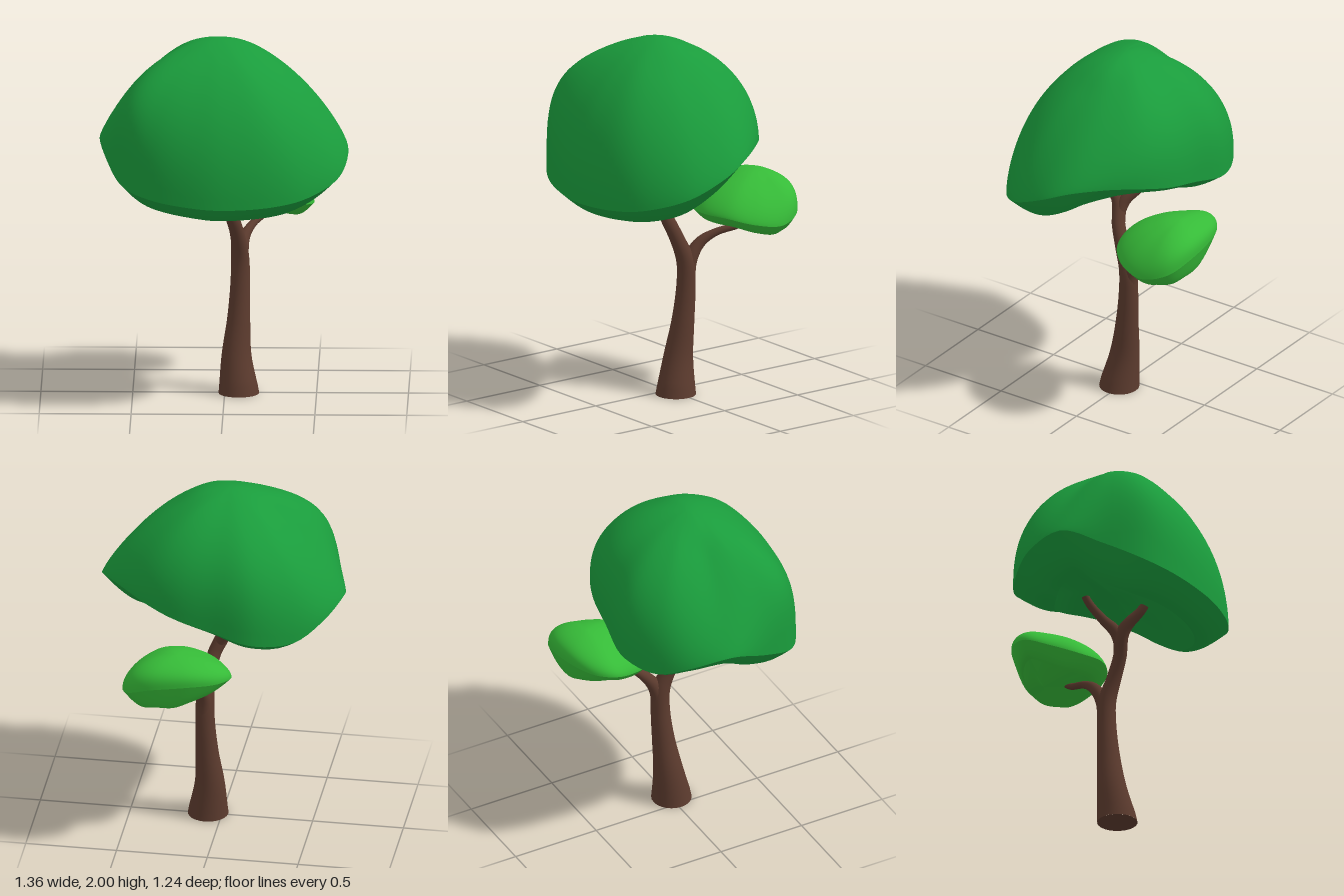
import * as THREE from 'three';
import { mergeVertices } from 'three/addons/utils/BufferGeometryUtils.js';

const SIDES = 96;

// Smooth skin over closed rings of points, listed from the underside upwards
function loft(rings) {
  const pos = rings.flat().flatMap(p => [p.x, p.y, p.z]);
  const n = rings[0].length, index = [];
  for (let i = 0; i < rings.length - 1; i++) {
    for (let j = 0; j < n; j++) {
      const k = (j + 1) % n;
      const a = i * n + j, b = i * n + k, c = a + n, d = b + n;
      index.push(a, c, b, b, c, d);
    }
  }
  let g = new THREE.BufferGeometry();
  g.setAttribute('position', new THREE.Float32BufferAttribute(pos, 3));
  g.setIndex(index);
  g = mergeVertices(g, 1e-5);
  g.computeVertexNormals();
  return g;
}

// Leaf mass: rim points [x, y, z, fullness], an apex, a rolled lip and a shallow underside
function foliage(name, o) {
  const group = new THREE.Group();
  group.name = name;
  const material = new THREE.MeshStandardMaterial({ color: o.color });
  const closed = pts => new THREE.CatmullRomCurve3(pts, true, 'catmullrom', 0.5);
  const rimCurve = closed(o.rim.map(p => new THREE.Vector3(p[0], p[1], p[2])));
  const fullCurve = closed(o.rim.map(p => new THREE.Vector3(p[3], 0, 0)));
  const [ax, ay, az] = o.apex;
  const rim = [];
  for (let j = 0; j < SIDES; j++) {
    const p = rimCurve.getPoint(j / SIDES);
    const angle = Math.atan2(p.z - az, p.x - ax);
    const back = Math.max(0, -Math.sin(angle));
    rim.push({
      p, back,
      full: fullCurve.getPoint(j / SIDES).x,
      lipY: p.y - o.drop - o.sideDrop * Math.cos(angle) ** 4 - o.backDrop * back,
      inner: o.inner + 0.06 * Math.sin(angle),
    });
  }
  const ring = (scale, height) => rim.map(r => {
    const s = scale(r);
    return new THREE.Vector3(ax + (r.p.x - ax) * s, height(r), az + (r.p.z - az) * s);
  });
  const add = (part, rings) => {
    const mesh = new THREE.Mesh(loft(rings), material);
    mesh.name = part;
    group.add(mesh);
  };

  const crown = [], lip = [], underside = [];
  for (let i = 0; i <= 32; i++) {
    const s = Math.cos(i / 32 * Math.PI / 2);
    const spread = THREE.MathUtils.smoothstep(s, 0, 0.45);
    crown.push(ring(() => s, r => {
      const q = THREE.MathUtils.lerp(2, r.full, spread);
      const power = 1.72 - 0.25 * Math.max(0, q - 2.2);
      return r.p.y + (ay - r.p.y) * Math.max(0, 1 - s ** power) ** (1 / q);
    }));
  }
  for (let i = 0; i <= 10; i++) {
    const k = 1 - i / 10;
    lip.push(ring(r => 1 - (1 - r.inner) * k,
      r => THREE.MathUtils.lerp(r.p.y, r.lipY, Math.sin(k * Math.PI / 2))));
  }
  for (let i = 0; i <= 14; i++) {
    const k = i / 14;
    underside.push(ring(r => r.inner * k,
      r => THREE.MathUtils.lerp(o.undersideY, r.lipY, k ** (1.3 + 2 * r.back))));
  }
  add(name + 'Crown', crown);
  add(name + 'Lip', lip);
  add(name + 'Underside', underside);
  return group;
}

// Tapered limb through points [x, y, z, radius]
function limb(name, pts, material) {
  const path = new THREE.CatmullRomCurve3(pts.map(p => new THREE.Vector3(p[0], p[1], p[2])));
  const radii = new THREE.CatmullRomCurve3(
    pts.map((p, i) => new THREE.Vector3(p[3], i, 0)), false, 'catmullrom', 0.5);
  const steps = 40, around = 24;
  const g = new THREE.TubeGeometry(path, steps, 1, around, false);
  const pos = g.attributes.position, v = new THREE.Vector3();
  for (let i = 0; i <= steps; i++) {
    const u = i / steps, c = path.getPointAt(u);
    const r = radii.getPoint(path.getUtoTmapping(u)).x;
    for (let j = 0; j <= around; j++) {
      const n = i * (around + 1) + j;
      v.fromBufferAttribute(pos, n).sub(c).multiplyScalar(r).add(c);
      if (i === 0 && pts[0][1] === 0) v.y = 0;
      pos.setXYZ(n, v.x, v.y, v.z);
    }
  }
  g.deleteAttribute('uv');
  g.deleteAttribute('normal');
  const smooth = mergeVertices(g, 1e-5);
  smooth.computeVertexNormals();
  const mesh = new THREE.Mesh(smooth, material);
  mesh.name = name;
  return mesh;
}

export function createModel() {
  const tree = new THREE.Group();
  tree.name = 'tree';
  const bark = new THREE.MeshStandardMaterial({ color: 0x5c3b2e });

  // Trunk leaning into the main branch, with its foot
  tree.add(limb('trunk', [
    [0.077, 0, 0.01, 0.111], [0.064, 0.2, -0.017, 0.082], [0.075, 0.4, -0.04, 0.063],
    [0.083, 0.6, -0.055, 0.053], [0.083, 0.74, -0.052, 0.05], [0.073, 0.86, -0.01, 0.041],
    [0.045, 0.98, 0.038, 0.037], [0, 1.08, 0.065, 0.039], [-0.01, 1.13, 0.1, 0.034],
    [-0.01, 1.2, 0.18, 0.026], [-0.01, 1.28, 0.24, 0.02],
  ], bark));
  const foot = new THREE.Mesh(new THREE.CircleGeometry(0.11, 24), bark);
  foot.name = 'trunkFoot';
  foot.rotation.x = Math.PI / 2;
  foot.position.set(0.077, 0, 0.01);
  tree.add(foot);

  // Side branches
  tree.add(limb('upperBranch', [
    [0.03, 1.01, 0.05, 0.03], [-0.01, 1.1, 0.035, 0.034], [-0.06, 1.17, -0.025, 0.026],
    [-0.12, 1.25, -0.08, 0.022], [-0.17, 1.34, -0.11, 0.018],
  ], bark));
  tree.add(limb('lowerBranch', [
    [0.085, 0.62, -0.062, 0.042], [0.088, 0.75, -0.08, 0.04], [0.105, 0.84, -0.135, 0.031],
    [0.15, 0.895, -0.21, 0.021], [0.22, 0.935, -0.32, 0.018], [0.25, 0.98, -0.38, 0.016],
  ], bark));

  // Large main canopy
  tree.add(foliage('canopy', {
    color: 0x1a9c3c, apex: [-0.04, 2, 0.05], drop: 0.095, sideDrop: 0.07, backDrop: 0,
    inner: 0.65, undersideY: 1.29,
    rim: [
      [0, 1.17, 0.615, 2.2], [-0.2, 1.18, 0.59, 2.4], [-0.4, 1.205, 0.52, 3.1],
      [-0.55, 1.25, 0.4, 4.2], [-0.635, 1.34, 0.2, 2.3], [-0.68, 1.43, -0.02, 1.2],
      [-0.6, 1.38, -0.24, 1.5], [-0.45, 1.3, -0.38, 2.3], [-0.23, 1.31, -0.465, 2.8],
      [0, 1.365, -0.44, 2.7], [0.2, 1.41, -0.41, 2.5], [0.36, 1.45, -0.34, 2.1],
      [0.5, 1.47, -0.22, 1.6], [0.63, 1.45, -0.05, 1.25], [0.675, 1.38, 0.12, 1.2],
      [0.62, 1.28, 0.33, 1.4], [0.45, 1.21, 0.5, 1.75], [0.25, 1.18, 0.585, 2.1],
    ],
  }));

  // Small foliage on the lower branch
  tree.add(foliage('smallFoliage', {
    color: 0x36bb38, apex: [0.18, 1.22, -0.46], drop: 0.07, sideDrop: 0, backDrop: 0.08,
    inner: 0.66, undersideY: 0.94,
    rim: [
      [0.16, 1.02, -0.11, 1.5], [0, 1.01, -0.17, 1.6], [-0.09, 1.05, -0.32, 1.8],
      [-0.12, 1.09, -0.45, 2], [-0.05, 1.1, -0.55, 2.4], [0.1, 1.1, -0.61, 3],
      [0.3, 1.07, -0.615, 3], [0.43, 1.01, -0.55, 2.6], [0.48, 0.97, -0.41, 1.8],
      [0.44, 0.99, -0.26, 1.5], [0.33, 1.02, -0.15, 1.5],
    ],
  }));
  return tree;
}
